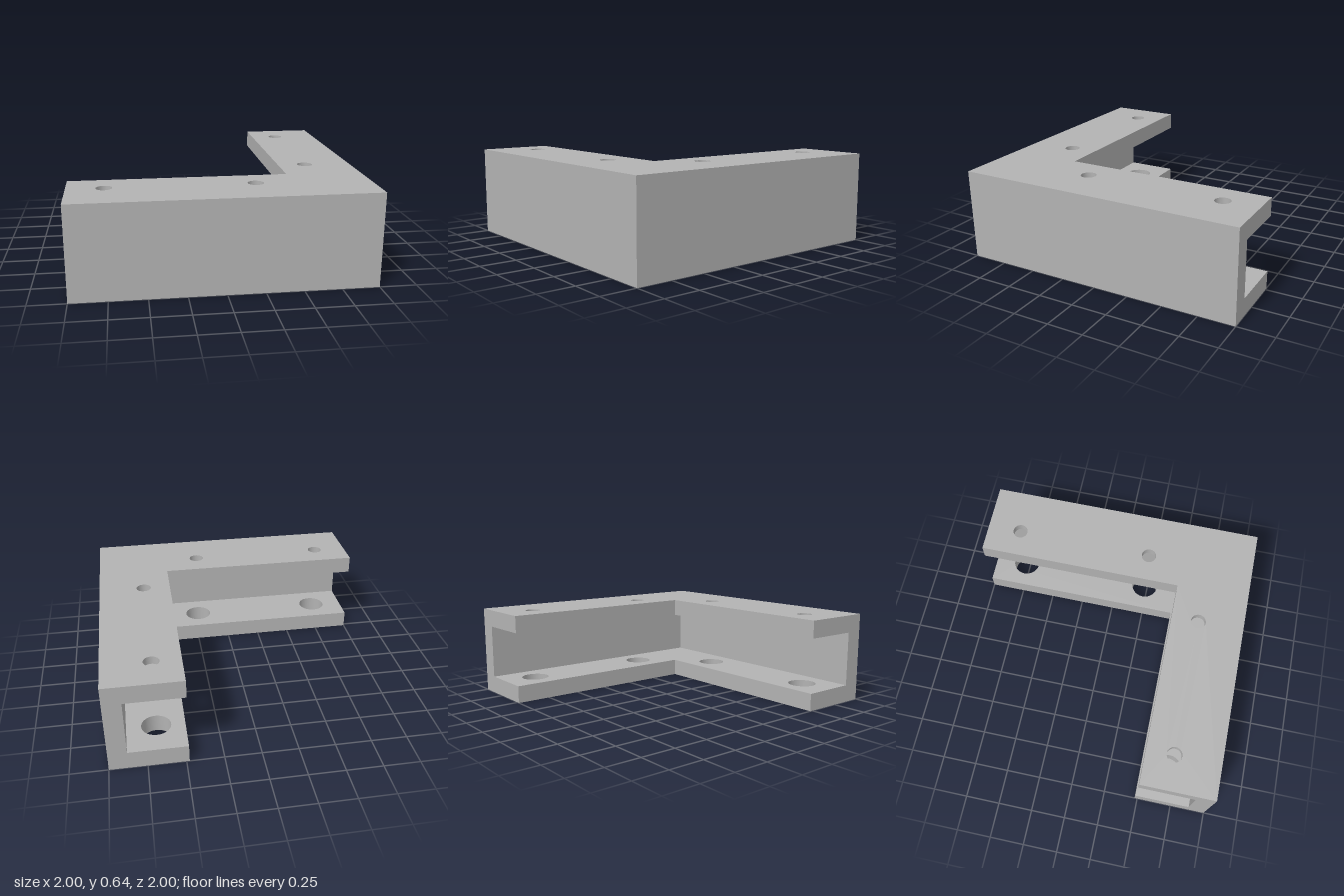
import * as THREE from 'three';

// Hole centres as [x, z] on each arm
const sideHoles = [[0.675, -0.755], [0.675, 0.23]];
const frontHoles = sideHoles.map(([x, z]) => [z, x]);
const allHoles = [...sideHoles, ...frontHoles];

export function createModel() {
  const group = new THREE.Group();
  group.name = 'cornerBracket';
  const metal = new THREE.MeshStandardMaterial({ color: 0xb2b2b2 });
  metal.name = 'grey';

  // One horizontal L-shaped layer: arm width, height range, holes and their radius
  function layer(name, width, y0, y1, holes = [], radius = 0) {
    const inner = 1 - width;
    const outline = [[-1, 1], [1, 1], [1, -1], [inner, -1], [inner, inner], [-1, inner]];
    const shape = new THREE.Shape(outline.map(([x, z]) => new THREE.Vector2(x, -z)));
    for (const [x, z] of holes) {
      shape.holes.push(new THREE.Path().absarc(x, -z, radius, 0, Math.PI * 2, true));
    }
    const geometry = new THREE.ExtrudeGeometry(shape, {
      depth: y1 - y0, bevelEnabled: false, curveSegments: 48,
    });
    geometry.rotateX(-Math.PI / 2).translate(0, y0, 0);
    const mesh = new THREE.Mesh(geometry, metal);
    mesh.name = name;
    group.add(mesh);
  }

  // Bottom flange: open holes on the side arm, blind pockets on the front arm
  layer('bottomSkin', 0.52, 0, 0.005, sideHoles, 0.1);
  layer('bottomFlange', 0.52, 0.005, 0.125, allHoles, 0.1);
  // Outer wall of the channel
  layer('outerWall', 0.125, 0.125, 0.515);
  // Top flange: screw holes counterbored from below
  layer('counterboreFlange', 0.52, 0.515, 0.585, allHoles, 0.17);
  layer('topFlange', 0.52, 0.585, 0.64, allHoles, 0.053);

  return group;
}
